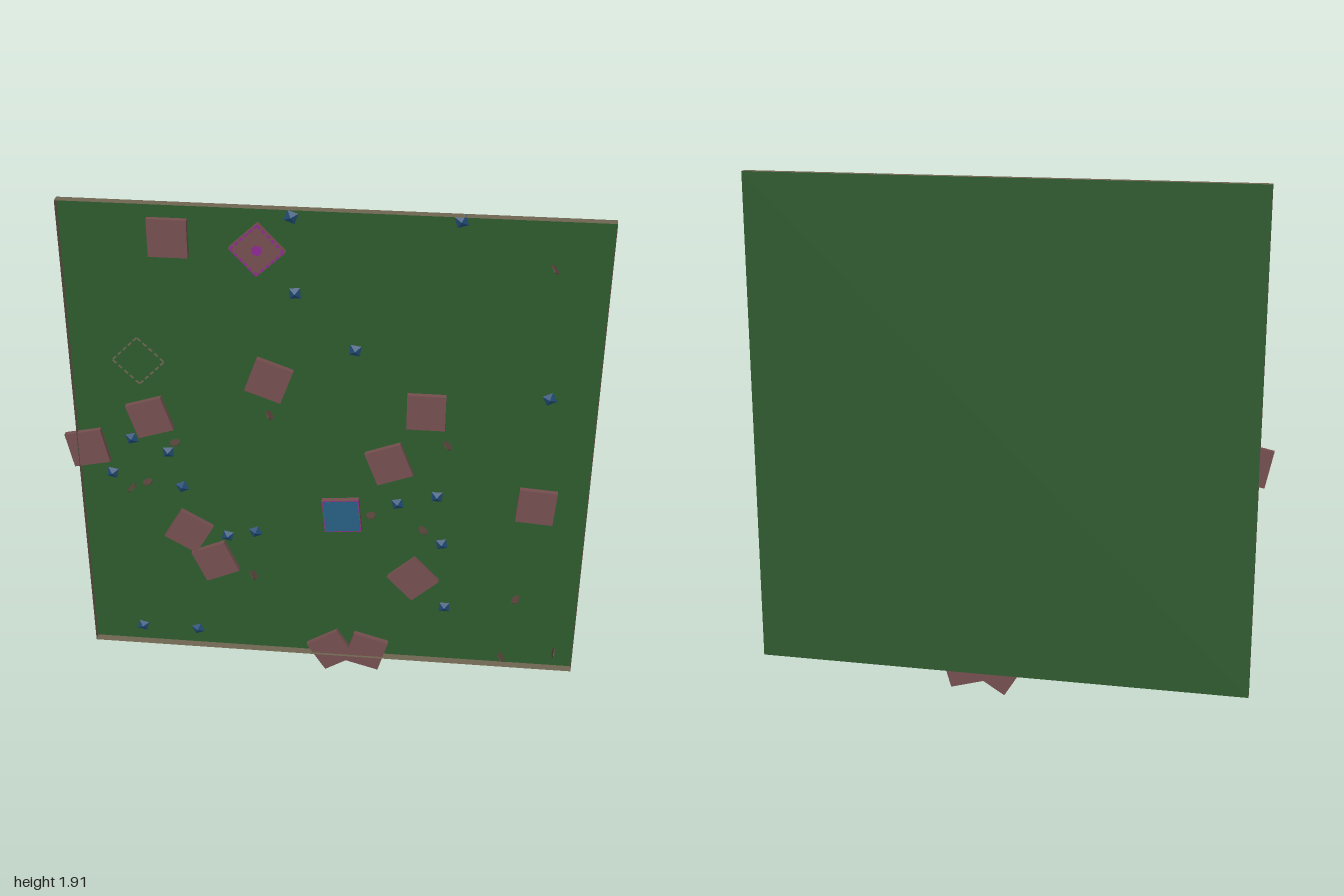
import * as THREE from 'three';

const mat = (name, color, extra = {}) => new THREE.MeshStandardMaterial({ name, color, ...extra });

export function createModel() {
  const group = new THREE.Group();
  const green = mat('grass green', 0x2e5a2e, { side: THREE.DoubleSide });
  const brown = mat('rim brown', 0x6e6450, { side: THREE.DoubleSide });
  const clay = mat('clay tile', 0x744e4e);
  const blue = mat('gem blue', 0x1f4a72, { flatShading: true });
  const water = mat('water blue', 0x265f82);
  const purple = mat('purple', 0x8c2a92);
  const dark = mat('dark chip', 0x55433a, { flatShading: true });

  const BACK = -0.068, FRONT = -0.037;
  const X0 = -0.937, X1 = 0.895, Y0 = 0.08, Y1 = 1.91;
  const cx = (X0 + X1) / 2, cy = (Y0 + Y1) / 2, w = X1 - X0, h = Y1 - Y0;

  const add = (parent, name, geo, material, x, y, z, deg = 0) => {
    const m = new THREE.Mesh(geo, material);
    m.name = name;
    m.position.set(x, y, z);
    m.rotation.z = THREE.MathUtils.degToRad(deg);
    parent.add(m);
    return m;
  };

  // Shallow open tray: green floor and four thin walls
  add(group, 'floor', new THREE.PlaneGeometry(w, h), green, cx, cy, BACK);
  const depth = FRONT - BACK, mid = (FRONT + BACK) / 2;
  for (const x of [X0, X1])
    add(group, 'sideWall', new THREE.PlaneGeometry(depth, h), brown, x, cy, mid).rotation.y = Math.PI / 2;
  for (const y of [Y0, Y1])
    add(group, 'endWall', new THREE.PlaneGeometry(w, depth), brown, cx, y, mid).rotation.x = Math.PI / 2;

  // Square tiles lying on the floor: x, y, turn
  const S = 0.135, T = 0.02, tileZ = BACK + 0.001 + T / 2, topZ = T / 2 + 0.001;
  const tileGeo = new THREE.BoxGeometry(S, S, T);
  const tiles = [
    [-0.57, 1.785, 0], [-0.24, 1.265, -20], [-0.67, 1.09, 18], [-0.905, 0.95, 12],
    [0.31, 1.17, 0], [0.185, 0.95, 21], [0.715, 0.805, -4], [-0.55, 0.61, -30],
    [-0.455, 0.48, 24], [0.285, 0.455, 43], [-0.02, 0.095, 32], [0.115, 0.1, -16],
  ];
  tiles.forEach(([x, y, a], i) => add(group, 'tile', tileGeo, clay, x, y, tileZ + (i % 2) * 0.0005, a));

  // Dashed square border
  const dashes = (parent, material, z, thick, count) => {
    const step = S / count;
    const geo = new THREE.BoxGeometry(step * 0.6, thick, 0.002);
    for (let side = 0; side < 4; side++) {
      const edge = new THREE.Group();
      edge.name = 'borderEdge';
      edge.rotation.z = side * Math.PI / 2;
      parent.add(edge);
      for (let i = 0; i < count; i++)
        add(edge, 'borderDash', geo, material, -S / 2 + (i + 0.5) * step, S / 2 - thick / 2, z);
    }
  };

  // Tile with a purple border and centre mark
  const marked = add(group, 'markedTile', tileGeo, clay, -0.27, 1.757, tileZ, 43);
  dashes(marked, purple, topZ, 0.008, 6);
  add(marked, 'centreMark', new THREE.CircleGeometry(0.02, 6), purple, 0, 0, topZ);

  // Tile with a blue top
  const pool = add(group, 'poolTile', tileGeo, clay, 0.018, 0.72, tileZ, 5);
  add(pool, 'poolTop', new THREE.BoxGeometry(S - 0.008, S - 0.008, 0.002), water, 0, 0, topZ);
  dashes(pool, purple, topZ - 0.0005, 0.004, 5);

  // Overgrown tile, only its broken outline shows
  const outline = new THREE.Group();
  outline.name = 'overgrownTile';
  outline.position.set(-0.7, 1.31, BACK + 0.002);
  outline.rotation.z = Math.PI / 4;
  group.add(outline);
  dashes(outline, brown, 0, 0.006, 5);

  // Faceted gems: x, y
  const gemGeo = new THREE.OctahedronGeometry(0.027).scale(1, 1, 0.48);
  const gems = [
    [-0.155, 1.88], [0.4, 1.89], [-0.145, 1.605], [0.06, 1.4], [0.73, 1.25], [-0.74, 1.0],
    [-0.61, 0.95], [-0.82, 0.85], [-0.565, 0.805], [0.22, 0.785], [0.36, 0.825], [-0.405, 0.6],
    [-0.3, 0.625], [0.385, 0.62], [0.405, 0.335], [-0.75, 0.155], [-0.535, 0.155],
  ];
  gems.forEach(([x, y], i) => add(group, 'gem', gemGeo, blue, x, y, -0.053, 25 + (i * 37) % 50));

  // Thin chips standing on edge: x, y, turn
  const chipGeo = new THREE.CylinderGeometry(0.023, 0.023, 0.004, 8).scale(0.8, 1, 1);
  const chips = [
    [0.71, 1.742, -50], [-0.237, 1.135, -50], [0.39, 1.05, -40], [-0.58, 1.0, 5],
    [-0.75, 0.797, 40], [-0.69, 0.826, 10], [0.125, 0.737, 3], [0.315, 0.685, -25],
    [-0.31, 0.437, -50], [0.667, 0.4, 30], [0.63, 0.125, -45], [0.824, 0.163, 80],
  ];
  for (const [x, y, a] of chips) add(group, 'chip', chipGeo, dark, x, y, -0.039, a);

  return group;
}
